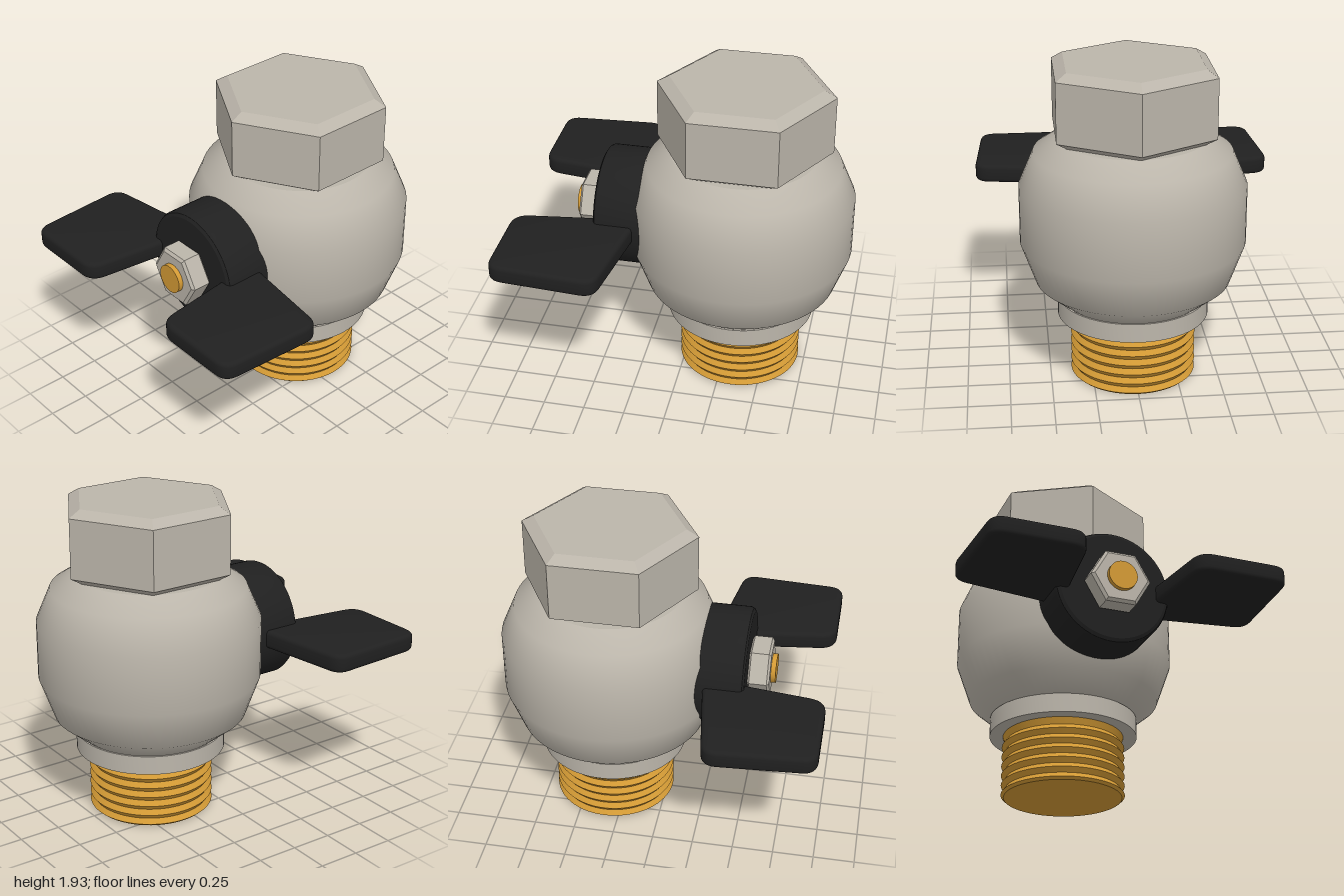
import * as THREE from 'three';
import { toCreasedNormals } from 'three/addons/utils/BufferGeometryUtils.js';

const AXIS_Z = -0.335; // vertical axis of the valve body
const STEM_Y = 1.027;  // height of the handle stem

const material = (name, color) => {
  const m = new THREE.MeshStandardMaterial({ color });
  m.name = name;
  return m;
};

export function createModel() {
  const nickel = material('nickel', 0xbbb5aa);
  const brass = material('brass', 0xd39a35);
  const black = material('black plastic', 0x202020);

  const model = new THREE.Group();
  const add = (name, geometry, mat) => {
    const mesh = new THREE.Mesh(geometry, mat);
    mesh.name = name;
    model.add(mesh);
    return mesh;
  };

  // Turned profile from [radius, y] pairs, bottom to top, with crisp edges
  const turned = (points, sides = 64, crease = 0.5) => toCreasedNormals(
    new THREE.LatheGeometry(points.map(([r, y]) => new THREE.Vector2(r, y)), sides), crease);
  const upright = (g) => g.translate(0, 0, AXIS_Z);
  const facingFront = (g) => g.rotateX(Math.PI / 2).translate(0, STEM_Y, 0);

  // Solid with chamfered rims; y0 and y1 are its ends
  const chamfered = (r, y0, y1, dr, dy) => [
    [0, y0], [r - dr, y0], [r, y0 + dy], [r, y1 - dy], [r - dr, y1], [0, y1]];

  // Rounded body with smooth shading, closed by a flat shoulder on top
  const bodyProfile = [[0.44, 0.5], [0.58, 0.615], [0.665, 0.855],
    [0.665, 1.2], [0.58, 1.4], [0.44, 1.49]].map(([r, y]) => new THREE.Vector2(r, y));
  add('body', upright(new THREE.LatheGeometry(bodyProfile, 64)), nickel);
  add('bodyShoulder', upright(new THREE.CircleGeometry(0.44, 64)
    .rotateX(-Math.PI / 2).translate(0, 1.49, 0)), nickel);

  // Collar and hexagonal cap
  add('collar', upright(turned([[0, 0.385], [0.45, 0.385], [0.45, 0.5], [0, 0.5]])), nickel);
  add('hexCap', upright(turned(chamfered(0.522, 1.49, 1.93, 0.072, 0.043), 6, 0.1)), nickel);

  // Threaded pipe end
  const thread = [[0, 0], [0.357, 0]];
  const pitch = 0.06;
  for (let y = 0.015; y < 0.37; y += pitch) {
    thread.push([0.374, y], [0.352, y + pitch / 2]);
  }
  thread.push([0.37, 0.39], [0, 0.39]);
  add('threadedEnd', upright(turned(thread)), brass);

  // Handle hub, with its back sunk into the body
  add('handleHub', facingFront(turned([[0, 0.18], [0.355, 0.18], [0.355, 0.485],
    [0.347, 0.502], [0.328, 0.513], [0, 0.513]])), black);

  // Wing outline in (x, z) with rounded corners
  const wingShape = (side) => {
    const corners = [[0.235, 0.255, 0.04], [0.927, 0.355, 0.09],
      [0.886, 0.998, 0.09], [0.33, 0.998, 0.1]];
    const shape = new THREE.Shape();
    corners.forEach(([x, z, r], i) => {
      const p = new THREE.Vector2(x, z);
      const toward = (j) => {
        const q = new THREE.Vector2(corners[j % 4][0], corners[j % 4][1]);
        return q.sub(p).setLength(r).add(p);
      };
      const a = toward(i + 3), b = toward(i + 1);
      if (i === 0) shape.moveTo(side * a.x, a.y);
      else shape.lineTo(side * a.x, a.y);
      shape.quadraticCurveTo(side * x, z, side * b.x, b.y);
    });
    shape.closePath();
    return shape;
  };

  // Pair of flat handle wings with rounded rims
  for (const [name, side] of [['leftWing', 1], ['rightWing', -1]]) {
    const wing = new THREE.ExtrudeGeometry(wingShape(side), {
      depth: 0.06, bevelThickness: 0.026, bevelSize: 0.026, bevelOffset: -0.026,
      bevelSegments: 4, curveSegments: 8 });
    wing.rotateX(Math.PI / 2).translate(0, STEM_Y + 0.03, 0);
    add(name, toCreasedNormals(wing, 0.6), black);
  }

  // Handle nut and the stem end poking through it
  add('handleNut', facingFront(turned(chamfered(0.183, 0.51, 0.643, 0.02, 0.014), 6, 0.1)
    .rotateY(Math.PI / 6)), nickel);
  add('stem', facingFront(turned([[0, 0.5], [0.088, 0.5], [0.088, 0.672], [0, 0.672]], 32)), brass);

  return model;
}
